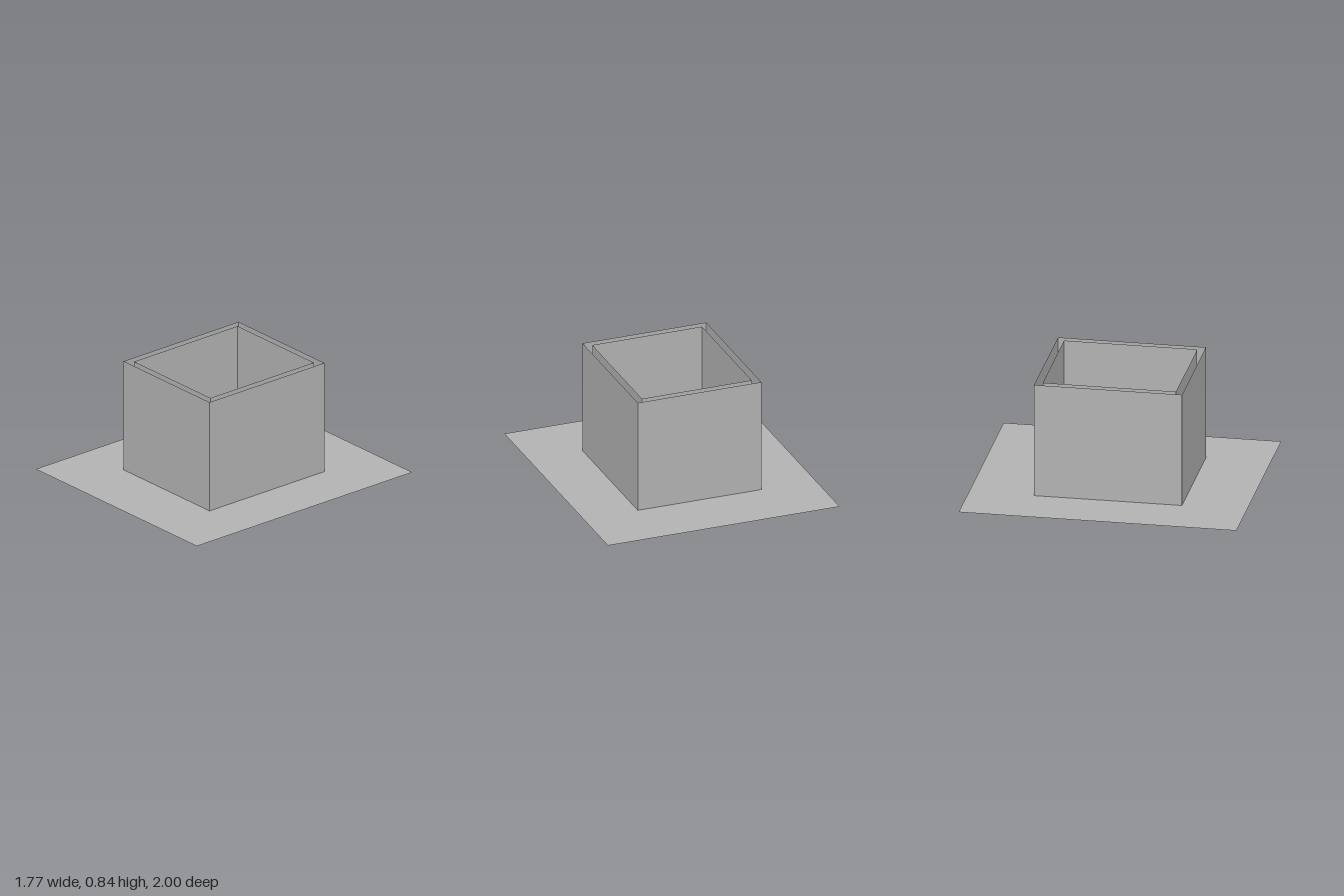
import * as THREE from 'three';

const grey = new THREE.MeshStandardMaterial({ color: 0xb2b2b2, side: THREE.DoubleSide });
grey.name = 'grey';

// Four thin upright sheets, open at the top and bottom
function wallShell(name, halfX, halfZ, height) {
  const shell = new THREE.Group();
  shell.name = name;
  ['front', 'left', 'back', 'right'].forEach((side, i) => {
    const alongX = i % 2 === 0;
    const width = 2 * (alongX ? halfX : halfZ);
    const geometry = new THREE.PlaneGeometry(width, height);
    geometry.translate(0, height / 2, alongX ? halfZ : halfX);
    geometry.rotateY((i * Math.PI) / 2);
    const wall = new THREE.Mesh(geometry, grey);
    wall.name = `${side}Wall`;
    shell.add(wall);
  });
  return shell;
}

export function createModel() {
  const model = new THREE.Group();
  model.name = 'walledEnclosure';

  // Flat ground sheet
  const ground = new THREE.Mesh(new THREE.PlaneGeometry(1.766, 2).rotateX(-Math.PI / 2), grey);
  ground.name = 'groundSheet';
  model.add(ground);

  // Outer and inner faces of the walls, with an open gap between them
  const height = 0.842;
  const gap = 0.053;
  model.add(wallShell('outerWalls', 0.471, 0.533, height));
  model.add(wallShell('innerWalls', 0.471 - gap, 0.533 - gap, height));

  return model;
}
